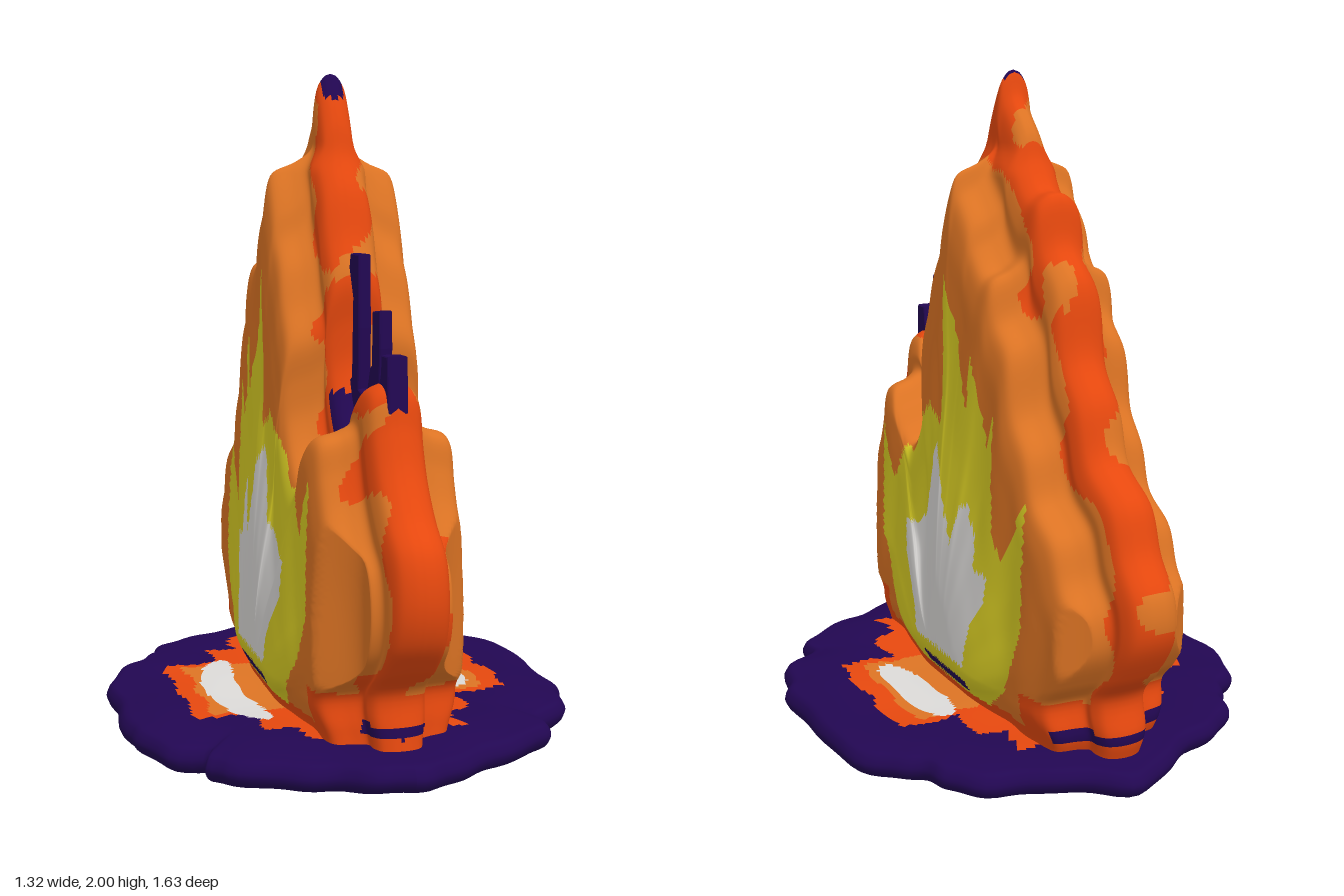
import * as THREE from 'three';

const mat = (name, color) => Object.assign(new THREE.MeshStandardMaterial({ color }), { name });
const curve = (pts, closed = false) =>
  new THREE.CatmullRomCurve3(pts.map(([x, y]) => new THREE.Vector3(x, y, 0)), closed);
const smooth = THREE.MathUtils.smoothstep;

// True when (a, b) lies in the polygon
function inside(poly, a, b) {
  let hit = false;
  for (let i = 0, j = poly.length - 1; i < poly.length; j = i++) {
    const [ai, bi] = poly[i], [aj, bj] = poly[j];
    if ((bi > b) !== (bj > b) && a < ((aj - ai) * (b - bi)) / (bj - bi) + ai) hit = !hit;
  }
  return hit;
}

// Smooth sheet from shape(u, v) -> [x, y, z, s]; paint(x, y, z, s) picks a material index per face
function sheet(m, n, count, shape, paint) {
  const pts = [], pos = [], faces = Array.from({ length: count }, () => []);
  for (let j = 0; j <= n; j++) for (let i = 0; i <= m; i++) {
    const p = shape(i / m, j / n);
    pts.push(p);
    pos.push(p[0], p[1], p[2]);
  }
  for (let j = 0; j < n; j++) for (let i = 0; i < m; i++) {
    const a = j * (m + 1) + i, b = a + 1, c = a + m + 1, d = c + 1;
    const mid = [0, 1, 2, 3].map(k => (pts[a][k] + pts[b][k] + pts[c][k] + pts[d][k]) / 4);
    faces[paint(...mid)].push(a, b, c, b, d, c);
  }
  const geo = new THREE.BufferGeometry();
  geo.setAttribute('position', new THREE.Float32BufferAttribute(pos, 3));
  geo.setIndex(faces.flat());
  let start = 0;
  faces.forEach((f, k) => {
    if (f.length) geo.addGroup(start, f.length, k);
    start += f.length;
  });
  geo.computeVertexNormals();
  return geo;
}

// Flame outline as (z, y), from the front foot over the tip to the back foot
const FLAME = [[0.65, 0.2], [0.64, 0.27], [0.63, 0.37], [0.72, 0.46], [0.79, 0.55], [0.815, 0.66], [0.79, 0.78],
  [0.71, 0.86], [0.64, 0.96], [0.6, 1.06], [0.57, 1.16], [0.505, 1.175], [0.45, 1.11], [0.4, 1.04], [0.35, 1.0],
  [0.28, 1.06], [0.225, 1.18], [0.22, 1.3], [0.23, 1.43], [0.18, 1.55], [0.14, 1.67], [0.08, 1.77], [0.055, 1.86],
  [0.01, 1.96], [-0.02, 2.0], [-0.045, 1.93], [-0.12, 1.84], [-0.15, 1.76], [-0.21, 1.69], [-0.275, 1.68],
  [-0.31, 1.55], [-0.39, 1.46], [-0.43, 1.27], [-0.51, 1.16], [-0.56, 1.02], [-0.68, 0.93], [-0.73, 0.81],
  [-0.8, 0.71], [-0.805, 0.6], [-0.73, 0.47], [-0.66, 0.38], [-0.68, 0.27], [-0.66, 0.2]];
// Half thickness of the flame as (scale from the centre, x): broad core stepping down to a rim ridge
const SECTION = [[0, 0.252], [0.1, 0.252], [0.2, 0.25], [0.3, 0.243], [0.4, 0.23], [0.5, 0.217], [0.6, 0.21],
  [0.7, 0.206], [0.79, 0.2], [0.84, 0.18], [0.862, 0.12], [0.885, 0.085], [0.93, 0.08], [0.975, 0.062],
  [0.995, 0.03], [1, 0]];
// Painted flame layers as (z, y)
const YELLOW = [[0.46, 0.92], [0.38, 0.74], [0.31, 0.87], [0.25, 0.86], [0.2, 0.95], [0.1, 1.05], [0.02, 1.0],
  [0, 1.44], [-0.07, 1.27], [-0.14, 1.08], [-0.16, 1.24], [-0.25, 1.0], [-0.28, 1.1], [-0.29, 0.76], [-0.34, 0.7],
  [-0.45, 0.9], [-0.46, 0.53], [-0.37, 0.33], [-0.26, 0.24], [0.25, 0.24], [0.38, 0.4], [0.46, 0.55]];
const WHITE = [[0.255, 0.65], [0.19, 0.66], [0.1, 0.73], [0.07, 0.9], [0.04, 0.94], [0, 0.89], [-0.03, 0.78],
  [-0.08, 0.68], [-0.12, 0.8], [-0.16, 0.81], [-0.2, 0.73], [-0.2, 0.64], [-0.27, 0.63], [-0.25, 0.53],
  [-0.2, 0.48], [-0.17, 0.33], [0.14, 0.33], [0.16, 0.42], [0.25, 0.55]];
// Right half of the base outline as (x, z), front to back
const BASE = [[0, 0.75], [0.1, 0.72], [0.2, 0.66], [0.31, 0.62], [0.44, 0.55], [0.49, 0.49], [0.48, 0.44], [0.58, 0.38],
  [0.63, 0.26], [0.655, 0.18], [0.65, 0], [0.65, -0.18], [0.6, -0.32], [0.53, -0.38], [0.48, -0.44], [0.45, -0.51],
  [0.37, -0.58], [0.25, -0.62], [0.12, -0.69], [0, -0.75]];
// Base section as (scale, y), from the top centre round the rim to the bottom centre
const SLAB = [[0, 0.215], [0.2, 0.215], [0.35, 0.215], [0.5, 0.216], [0.65, 0.218], [0.8, 0.22], [0.92, 0.212],
  [0.98, 0.2], [1, 0.17], [0.97, 0.135], [0.8, 0.12], [0.65, 0.117], [0.4, 0.112], [0, 0.11]];

export function createModel() {
  const orange = mat('orange', 0xdd7424), red = mat('redOrange', 0xe6480e), yellow = mat('yellow', 0xdace24),
    white = mat('white', 0xdcdad8), purple = mat('purple', 0x220752);
  const mats = [orange, red, yellow, white, purple];
  const [ORANGE, RED, YEL, WHI, PUR] = [0, 1, 2, 3, 4];
  const model = new THREE.Group();
  const add = (name, geo, material) => {
    const mesh = new THREE.Mesh(geo, material);
    mesh.name = name;
    model.add(mesh);
    return mesh;
  };

  // Flame body: the outline shrinks towards its foot while the thickness grows
  const outline = curve(FLAME), section = curve(SECTION);
  const flame = sheet(180, 260, 5, (u, v) => {
    const edge = outline.getPoint(1 - v);
    const { x: s, y: half } = section.getPoint(1 - Math.abs(2 * u - 1));
    const z = s * edge.x, y = 0.2 + s * (edge.y - 0.2);
    const taper = 0.25 - 0.14 * (z > 0 ? smooth(z, 0.45, 0.66) : smooth(-z, 0.55, 0.74));
    const foot = 0.84 + 0.16 * smooth(y, 0.2, 0.32);
    const tip = 1 - 0.35 * smooth(y, 1.72, 1.8);
    const streaks = 0.005 * smooth(0.9 - s, 0, 0.25) * smooth(s, 0.35, 0.6) * Math.sin(26 * z + 4 * y * y);
    const x = Math.min(half, taper) * foot * tip + streaks;
    return [u < 0.5 ? x : -x, y, z, s];
  }, (x, y, z, s) => {
    const patch = Math.sin(13 * y + 5 * z + 4 * x) * Math.sin(17 * z - 10 * y + 14 * x);
    if (y > 1.93 && z > -0.025 && Math.abs(x) < 0.032) return PUR;
    if (s > 0.95 && z > 0.22 && z < 0.37 && y > 0.98 && y < 1.12) return PUR;
    if (y > 0.25 && y < 0.285) {
      if (Math.abs(z) > 0.56 || (z < 0.1 && z > -0.17)) return PUR;
    }
    if (s < 0.86 && inside(WHITE, z, y)) return WHI;
    if (s < 0.86 && inside(YELLOW, z, y)) return YEL;
    if (y < 0.25 || (y < 0.36 && Math.abs(z) > 0.45)) return RED;
    const lobe = z > 0.5 && y > 0.55 ? 0.02 : 0;
    return s > 0.94 - lobe + 0.08 * patch ? RED : ORANGE;
  });
  add('flame', flame, mats);

  // Base disc with a scorched patch on top and a glowing underside
  const rim = curve([...BASE, ...BASE.slice(1, -1).reverse().map(([x, z]) => [-x, z])], true), slab = curve(SLAB);
  const base = sheet(120, 160, 5, (u, v) => {
    const edge = rim.getPoint(v), { x: s, y } = slab.getPoint(u);
    const ragged = s * (1 + 0.008 * s * s * Math.sin(v * Math.PI * 54));
    const x = ragged * edge.x, z = ragged * edge.y;
    return [x, y + 0.007 * s * Math.sin(13 * x + 2) * Math.sin(11 * z), z, s];
  }, (x, y, z, s) => {
    const wave = 0.008 * Math.sin(31 * z + 4 * x) + 0.006 * Math.sin(47 * x);
    const ax = Math.abs(x) + wave, az = Math.abs(z) + wave;
    if (y < 0.15) return s < 0.62 + wave ? ORANGE : s < 0.75 + wave ? RED : PUR;
    // Pale arcs beside the flame, with rounded ends
    const [arc, mid, reach] = x < 0 ? [0.34 - 0.75 * z * z, 0.02, 0.28] : [0.33 + 0.06 * z, -0.02, 0.2];
    const t = Math.min(1, Math.abs(z - mid) / reach);
    if (Math.abs(Math.abs(x) - arc) < 0.053 * Math.sqrt(1 - t ** 4)) return WHI;
    if (ax < 0.41 && az < 0.21) return ORANGE;
    if ((ax < 0.47 && az < 0.24) || (ax < 0.3 && az < 0.38) || (ax < 0.22 && az < 0.5)) return RED;
    return PUR;
  });
  add('baseDisc', base, mats);

  // Shallow rounded keel under the base
  const keel = add('keel', new THREE.SphereGeometry(1, 32, 20), orange);
  keel.scale.set(0.13, 0.105, 0.42);
  keel.position.y = 0.105;

  // Thin dark prongs rising from the front notch, extruded from (z, y) outlines
  const prongs = [
    [0.02, [[0.2, 1.02], [0.2, 1.13], [0.25, 1.16], [0.26, 1.38], [0.225, 1.46], [0.235, 1.495], [0.3, 1.495],
      [0.305, 1.3], [0.3, 1.13], [0.37, 1.11], [0.36, 0.98]]],
    [0.02, [[0.36, 0.98], [0.375, 1.11], [0.41, 1.2], [0.425, 1.21], [0.43, 1.35], [0.48, 1.355], [0.485, 1.26],
      [0.47, 1.05]]],
    [0.04, [[0.49, 1.1], [0.53, 1.2], [0.535, 1.245], [0.575, 1.245], [0.585, 1.1]]],
  ];
  prongs.forEach(([depth, pts], k) => {
    const shape = new THREE.Shape(pts.map(([z, y]) => new THREE.Vector2(-z, y)));
    const geo = new THREE.ExtrudeGeometry(shape, { depth, bevelThickness: 0.008, bevelSize: 0.004, bevelSegments: 2 });
    add('prong' + (k + 1), geo.translate(0, 0, -depth / 2).rotateY(Math.PI / 2), purple);
  });
  return model;
}
